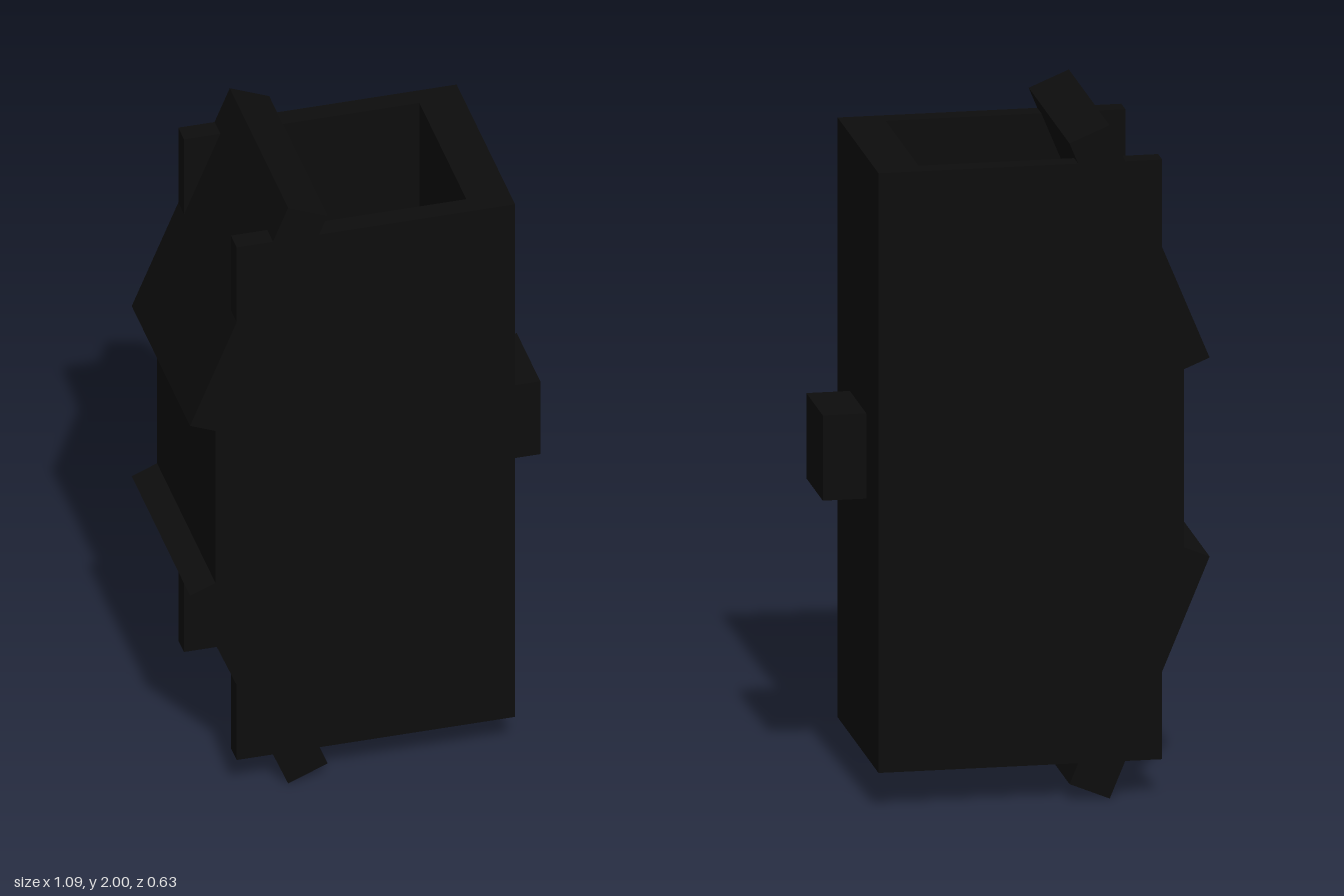
import * as THREE from 'three';

export function createModel() {
  const model = new THREE.Group();
  const black = new THREE.MeshStandardMaterial({ color: 0x0d0d0d });
  black.name = 'black';

  // Box given by its extents along each axis
  function block(name, [x0, x1], [y0, y1], [z0, z1]) {
    const mesh = new THREE.Mesh(new THREE.BoxGeometry(x1 - x0, y1 - y0, z1 - z0), black);
    mesh.position.set((x0 + x1) / 2, (y0 + y1) / 2, (z0 + z1) / 2);
    mesh.name = name;
    model.add(mesh);
    return mesh;
  }

  const depth = 0.316, inner = 0.254, low = 0.11, high = 1.89;

  // Open-ended case: two broad walls, one closed side
  block('frontWall', [-0.41, 0.418], [low, high], [inner, depth]);
  block('backWall', [-0.41, 0.418], [low, high], [-depth, -inner]);
  block('sideWall', [0.29, 0.418], [low, high], [-inner, inner]);

  // Central strip of the angled side
  block('gripStrip', [-0.473, -0.346], [0.7, 1.3], [-depth, depth]);

  // Slanted plates above and below the strip, mirrored about mid height
  const tilt = Math.PI / 8;
  for (const side of [1, -1]) {
    const plate = block(side > 0 ? 'upperSlantedPlate' : 'lowerSlantedPlate',
      [-0.0635, 0.0635], [-0.381, 0.381], [-depth, depth]);
    plate.position.set(-0.344, 1 + side * 0.623, 0);
    plate.rotation.z = -side * tilt;
  }

  // Small stud on the closed side
  block('stud', [0.418, 0.545], [0.875, 1.128], [-0.127, 0.127]);

  return model;
}
